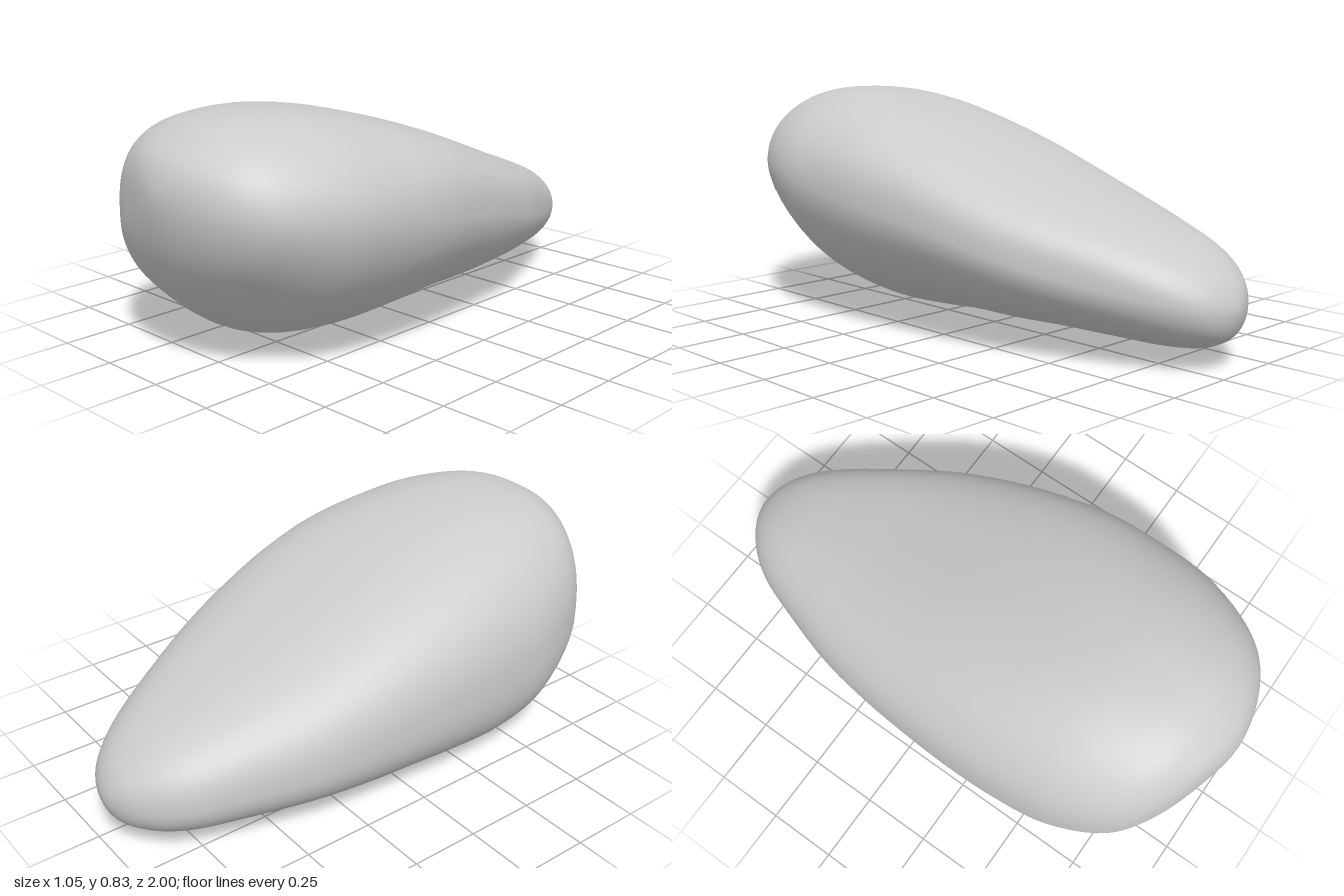
import * as THREE from 'three';
import { mergeVertices } from 'three/addons/utils/BufferGeometryUtils.js';

const SIDES = 72; // points around each cross-section
const STEPS = 5;  // rows between neighbouring cross-sections

// Cross-sections from tail to nose:
// z, leftmost x, y there, rightmost x, y there, lowest y, x there, highest y, x there
const SECTIONS = [
  [-0.97, -0.165, 0.20, 0.04, 0.21, 0.115, -0.07, 0.28, -0.07],
  [-0.90, -0.255, 0.20, 0.12, 0.23, 0.072, -0.08, 0.345, -0.06],
  [-0.80, -0.325, 0.21, 0.19, 0.25, 0.05, -0.10, 0.40, -0.05],
  [-0.60, -0.40, 0.23, 0.295, 0.29, 0.043, -0.13, 0.475, -0.03],
  [-0.40, -0.46, 0.25, 0.39, 0.34, 0.04, -0.15, 0.545, 0.00],
  [-0.20, -0.495, 0.28, 0.45, 0.395, 0.03, -0.15, 0.62, 0.03],
  [0.00, -0.515, 0.31, 0.49, 0.44, 0.025, -0.16, 0.695, 0.05],
  [0.20, -0.525, 0.33, 0.518, 0.475, 0.01, -0.16, 0.76, 0.07],
  [0.40, -0.52, 0.34, 0.52, 0.505, 0.003, -0.16, 0.81, 0.07],
  [0.60, -0.495, 0.36, 0.50, 0.53, 0.045, -0.15, 0.833, 0.07],
  [0.80, -0.41, 0.41, 0.42, 0.55, 0.20, -0.11, 0.815, 0.05],
  [0.90, -0.29, 0.48, 0.335, 0.57, 0.31, -0.05, 0.77, 0.04],
  [0.97, -0.12, 0.56, 0.20, 0.59, 0.45, 0.01, 0.71, 0.04],
];
const TAIL = new THREE.Vector3(-0.07, 0.2, -1);
const NOSE = new THREE.Vector3(0.03, 0.61, 1);

// Closed outline of four superelliptic quarters, fuller where the exponent is higher
function ring([z, xl, yl, xr, yr, yb, xb, yt, xt]) {
  const { smoothstep } = THREE.MathUtils;
  const belly = smoothstep(z, -0.9, 0.1);
  const shoulder = smoothstep(z, -1, -0.6) - 1.1 * smoothstep(z, -0.1, 0.6);
  const quarters = [
    // horizontal extreme, vertical extreme, exponent
    [xr, yr, xb, yb, 1.8],
    [xr, yr, xt, yt, 2.1 + 0.8 * shoulder],
    [xl, yl, xt, yt, 2.45],
    [xl, yl, xb, yb, 2 + 0.4 * belly],
  ];
  return Array.from({ length: SIDES }, (_, j) => {
    const [xs, ys, xv, yv, n] = quarters[Math.floor((j * 4) / SIDES)];
    const a = (j / SIDES) * Math.PI * 2;
    const across = Math.pow(Math.abs(Math.sin(a)), 2 / n);
    const up = Math.pow(Math.abs(Math.cos(a)), 2 / n);
    return new THREE.Vector3(xv + (xs - xv) * across, ys + (yv - ys) * up, z);
  });
}

function stoneGeometry() {
  const rings = SECTIONS.map(ring);
  const last = rings.length - 1;
  const rows = (rings.length + 1) * STEPS;
  const spans = rings.length + 3;
  const positions = [];
  const index = [];

  // Lengthwise curves run on past both tips, so the ends stay round
  for (let j = 0; j < SIDES; j++) {
    const opposite = (j + SIDES / 2) % SIDES;
    const curve = new THREE.CatmullRomCurve3([
      rings[0][opposite], TAIL, ...rings.map((r) => r[j]), NOSE, rings[last][opposite],
    ]);
    for (let i = 0; i <= rows; i++) {
      positions.push(...curve.getPoint((1 + i / STEPS) / spans).toArray());
    }
  }
  const at = (i, j) => (j % SIDES) * (rows + 1) + i;
  for (let j = 0; j < SIDES; j++) {
    for (let i = 0; i < rows; i++) {
      const a = at(i, j), b = at(i, j + 1), c = at(i + 1, j), d = at(i + 1, j + 1);
      if (i > 0) index.push(a, b, c);
      if (i < rows - 1) index.push(b, d, c);
    }
  }
  const geometry = new THREE.BufferGeometry();
  geometry.setAttribute('position', new THREE.Float32BufferAttribute(positions, 3));
  geometry.setIndex(index);
  const merged = mergeVertices(geometry, 1e-5); // one shared vertex per tip
  merged.computeVertexNormals();
  return merged;
}

export function createModel() {
  const group = new THREE.Group();
  group.name = 'pebble';
  const stone = new THREE.Mesh(stoneGeometry(), new THREE.MeshStandardMaterial({ color: 0xcccccc }));
  stone.name = 'stone';
  group.add(stone);
  return group;
}
